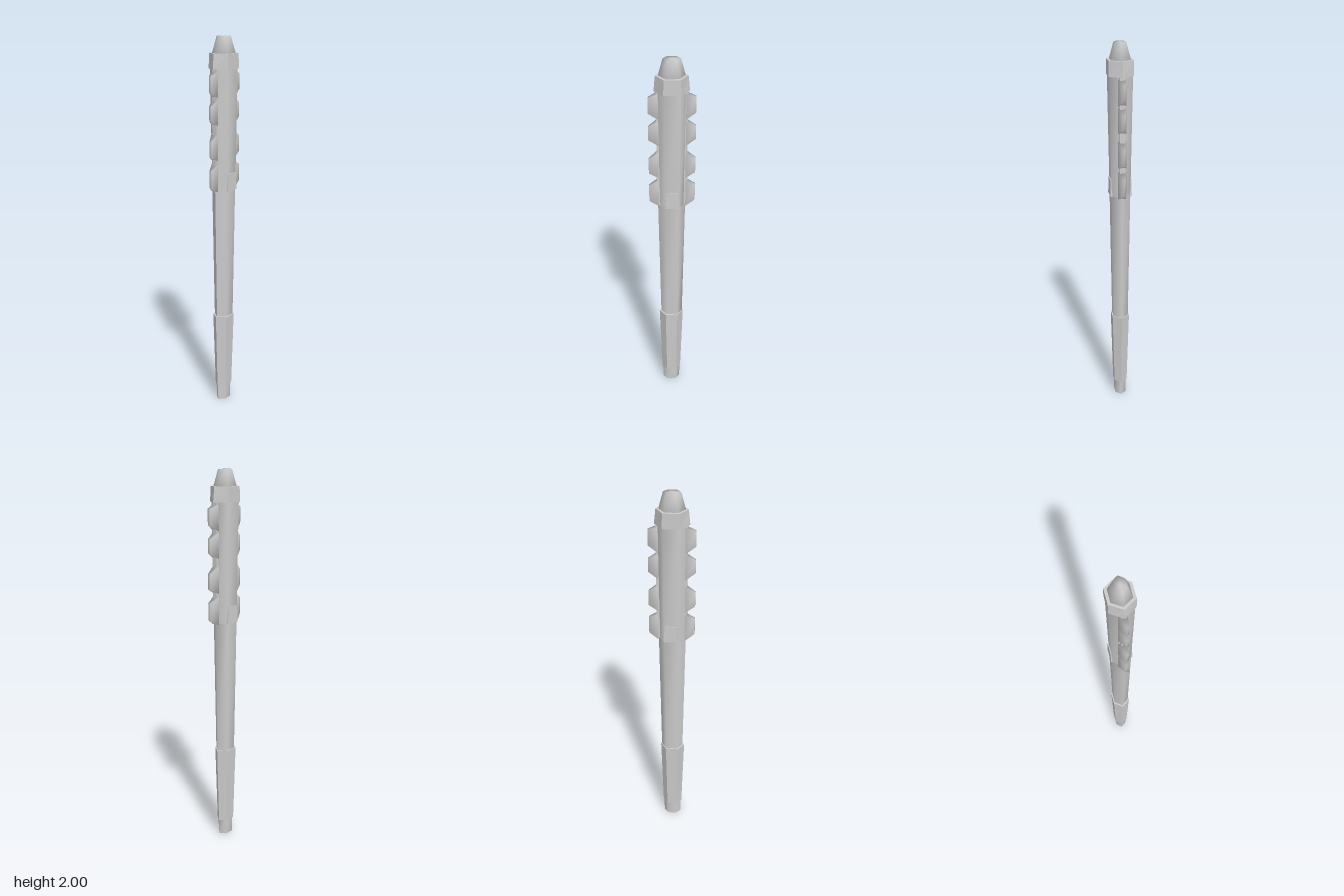
import * as THREE from 'three';
import { mergeVertices } from 'three/addons/utils/BufferGeometryUtils.js';

const smooth = new THREE.MeshStandardMaterial({ color: 0xcccccc });
const flat = new THREE.MeshStandardMaterial({ color: 0xcccccc, flatShading: true });

// Share corners so normals blend over every edge
function soften(geo) {
  geo.deleteAttribute('normal');
  geo.deleteAttribute('uv');
  const merged = mergeVertices(geo, 1e-5);
  merged.computeVertexNormals();
  return merged;
}

// Stretched six-sided frustum with corners on +z and -z.
// Each end is [y, half width in x, half depth in z]
function hexPart([y0, x0, z0], [y1, x1, z1]) {
  const geo = new THREE.CylinderGeometry(1, 1, 1, 6);
  const p = geo.attributes.position;
  const c = Math.cos(Math.PI / 6);
  for (let i = 0; i < p.count; i++) {
    const top = p.getY(i) > 0;
    p.setXYZ(i, p.getX(i) / c * (top ? x1 : x0), top ? y1 : y0, p.getZ(i) * (top ? z1 : z0));
  }
  geo.computeVertexNormals();
  return geo;
}

// Tapered tooth: inner and outer rectangles are [xMin, xMax, yMin, yMax, z]
function toothPart(inner, outer) {
  const geo = new THREE.BoxGeometry(1, 1, 1);
  const p = geo.attributes.position;
  const side = Math.sign(outer[4]);
  for (let i = 0; i < p.count; i++) {
    const r = p.getZ(i) * side > 0 ? outer : inner;
    p.setXYZ(i, p.getX(i) > 0 ? r[1] : r[0], p.getY(i) > 0 ? r[3] : r[2], r[4]);
  }
  return soften(geo);
}

export function createModel() {
  const model = new THREE.Group();
  model.name = 'toothedClub';
  const add = (name, geo, mat, z = 0) => {
    const mesh = new THREE.Mesh(geo, mat);
    mesh.name = name;
    mesh.position.z = z;
    model.add(mesh);
    return mesh;
  };

  // Handle and shaft
  add('pommel', hexPart([0, 0.029, 0.047], [0.1, 0.03, 0.05]), smooth, 0.004);
  add('grip', hexPart([0.085, 0.035, 0.053], [0.51, 0.046, 0.066]), flat, 0.004);
  add('shaft', hexPart([0.48, 0.039, 0.058], [1.22, 0.049, 0.07]), smooth, 0.002);
  add('head', hexPart([1.22, 0.049, 0.07], [1.86, 0.059, 0.077]), smooth, 0.001);

  // Collar and blunt tip
  add('collar', hexPart([1.84, 0.063, 0.087], [1.917, 0.063, 0.079]), flat, 0.001);
  add('tip', soften(hexPart([1.9, 0.054, 0.07], [2, 0.028, 0.043])), smooth, 0.001);

  // Raised plates low on both flat sides of the head
  for (const s of [-1, 1]) {
    const geo = new THREE.CylinderGeometry(0.042, 0.053, 0.09, 4, 1, false, Math.PI / 4);
    geo.scale(0.22, 1, 1);
    const plate = add('sidePlate', geo, flat);
    plate.position.set(s * 0.048, 1.265, 0);
  }

  // Teeth on the front and back edges, with the rail they stand on.
  // Each row is [base low, base high, edge low, edge high]
  const rows = [
    [1.215, 1.36, 1.245, 1.335],
    [1.38, 1.52, 1.405, 1.485],
    [1.56, 1.69, 1.59, 1.66],
    [1.70, 1.83, 1.73, 1.81],
  ];
  for (const s of [1, -1]) {
    const front = s > 0;
    const base = front ? [-0.026, 0.017] : [-0.021, 0.021];
    const edge = front ? [0, 0.014] : [-0.008, 0.008];
    const rail = new THREE.BoxGeometry(0.028, 0.62, 0.03);
    add(front ? 'frontRail' : 'backRail', rail, flat).position.set(0, 1.53, s * 0.062);
    for (const [b0, b1, e0, e1] of rows) {
      add(front ? 'frontTooth' : 'backTooth',
        toothPart([...base, b0, b1, s * 0.068], [...edge, e0, e1, s * 0.117]), smooth);
    }
  }
  return model;
}
